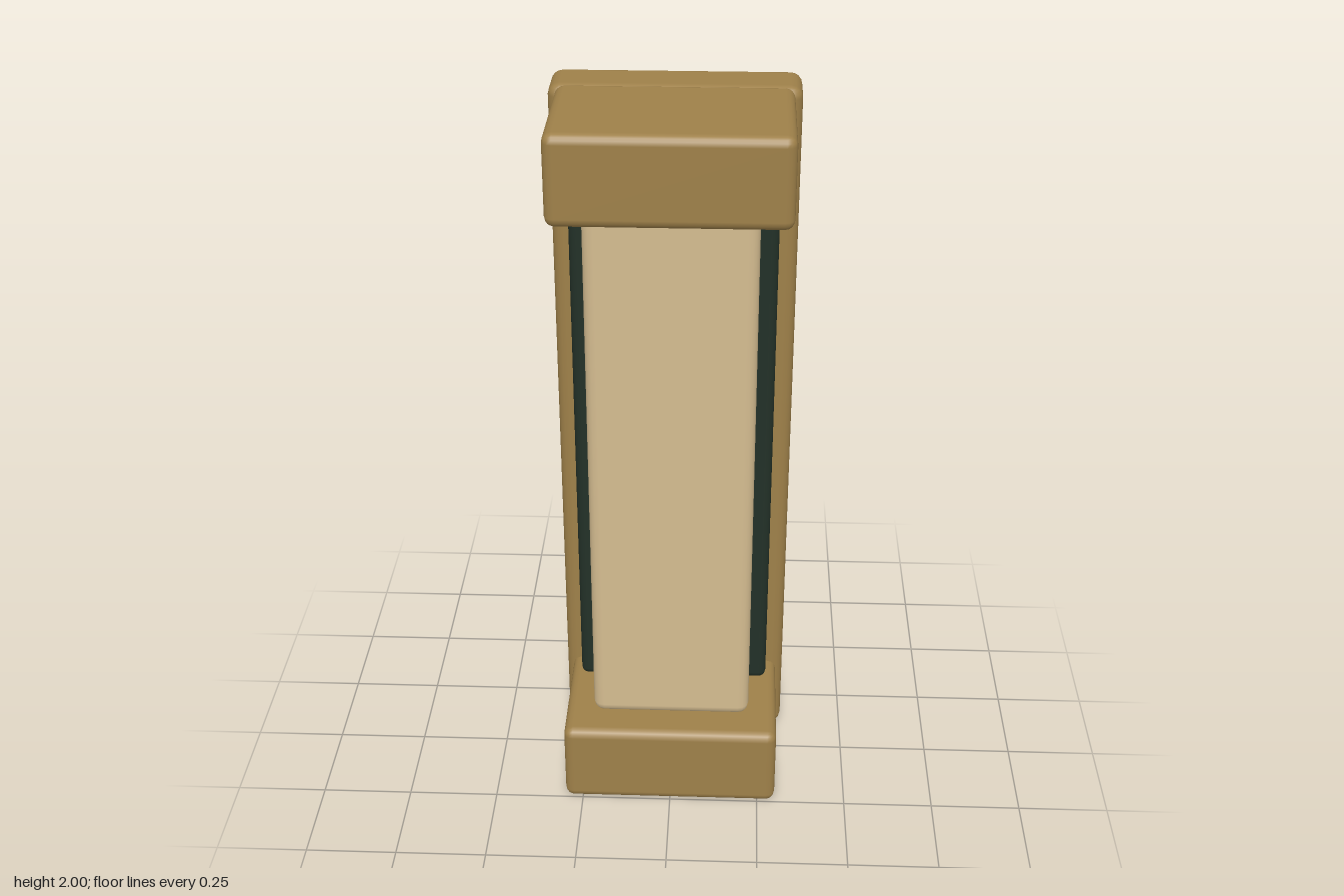
import * as THREE from 'three';
import { RoundedBoxGeometry } from 'three/addons/geometries/RoundedBoxGeometry.js';

const mat = (name, color) => {
  const m = new THREE.MeshStandardMaterial({ color });
  m.name = name;
  return m;
};

export function createModel() {
  const group = new THREE.Group();
  group.name = 'wallLamp';
  const brass = mat('brass', 0x9e8049);
  const cream = mat('cream', 0xd4bc90);
  const darkGreen = mat('darkGreen', 0x223027);

  // Softly bevelled box given by its extents
  const block = (name, material, halfX, [y0, y1], [z0, z1], radius) => {
    const geo = new RoundedBoxGeometry(halfX * 2, y1 - y0, z1 - z0, 2, radius);
    const mesh = new THREE.Mesh(geo, material);
    mesh.name = name;
    mesh.position.set(0, (y0 + y1) / 2, (z0 + z1) / 2);
    group.add(mesh);
  };

  // Tall plate against the wall
  block('backPlate', brass, 0.32, [0, 2], [-0.255, -0.1], 0.03);

  // Matching end caps
  block('bottomCap', brass, 0.3, [0, 0.24], [-0.125, 0.253], 0.025);
  block('topCap', brass, 0.3, [1.765, 2], [-0.125, 0.253], 0.025);

  // Dark mounting strip behind the shade
  block('mountingStrip', darkGreen, 0.27, [0.235, 1.77], [-0.125, -0.02], 0.02);

  // Pale shade between the caps
  block('shade', cream, 0.22, [0.24, 1.765], [-0.07, 0.165], 0.03);

  return group;
}
